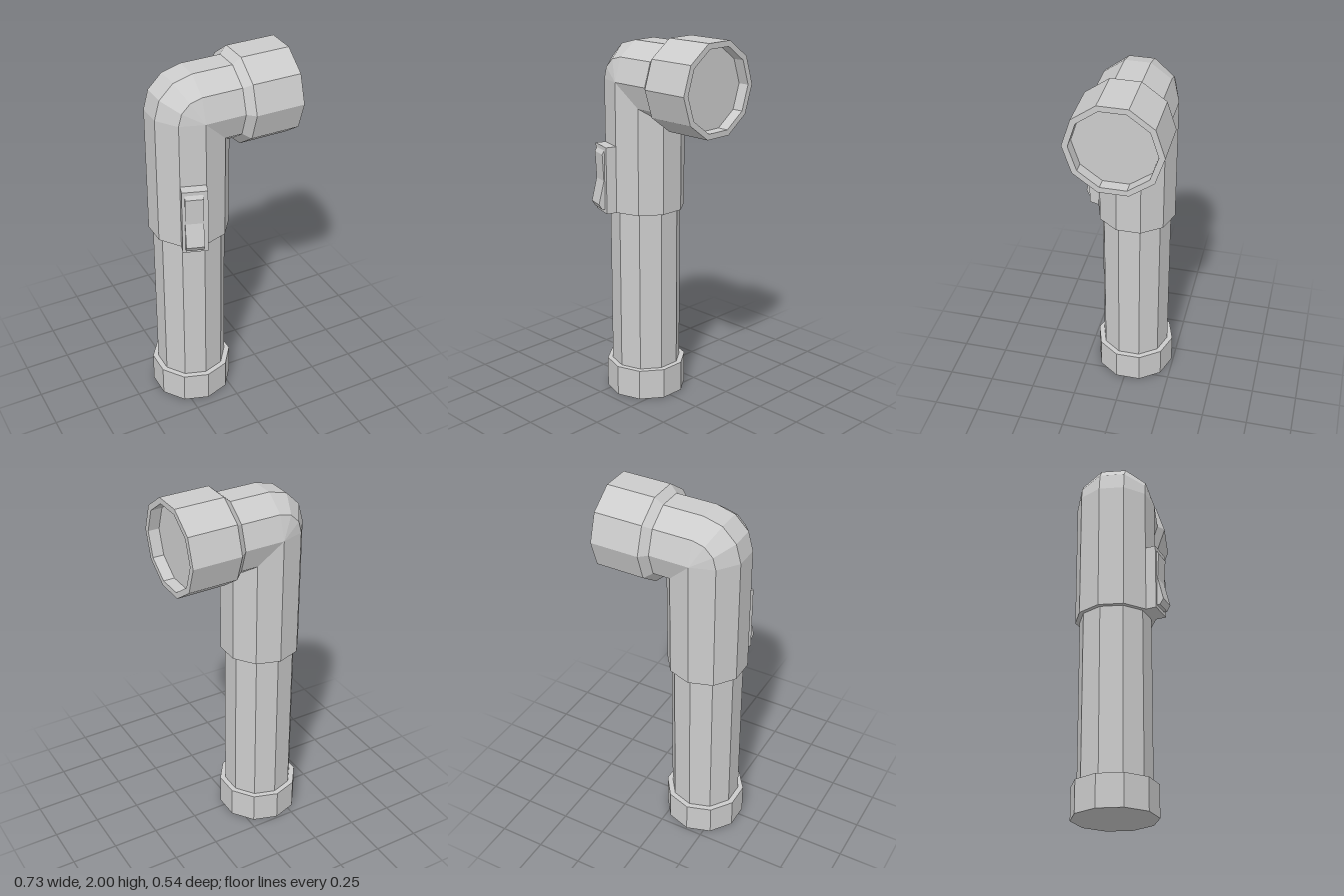
import * as THREE from 'three';

const SIDES = 10;
const AX = -0.157, AY = 1.762, AZ = -0.021; // where the handle and head axes meet
const TUBE_R = 0.213;

export function createModel() {
  const model = new THREE.Group();
  const material = new THREE.MeshStandardMaterial({ color: 0xcccccc, flatShading: true });

  const add = (name, geometry, parent = model) => {
    const mesh = new THREE.Mesh(geometry, material);
    mesh.name = name;
    parent.add(mesh);
    return mesh;
  };
  // ten-sided turned part from [radius, height] pairs
  const turned = (...profile) =>
    new THREE.LatheGeometry(profile.map(([r, y]) => new THREE.Vector2(r, y)), SIDES);
  // cut the inner half of one end ring at 45 degrees
  const miter = (geometry, endY, sign) => {
    const p = geometry.attributes.position;
    for (let i = 0; i < p.count; i++) {
      if (Math.abs(p.getY(i) - endY) < 1e-5) p.setY(i, endY + sign * Math.max(0, p.getX(i)));
    }
    return geometry;
  };

  // upright handle
  const handle = new THREE.Group();
  handle.name = 'handle';
  handle.position.set(AX, 0, AZ);
  model.add(handle);
  add('baseCap', turned([0, 0], [0.22, 0], [0.22, 0.17], [0, 0.17]), handle);
  add('batteryTube', turned([0.19, 0.17], [0.19, 1.065]), handle);
  add('upperTube', miter(turned([0, 1.065], [TUBE_R, 1.065], [TUBE_R, AY]), AY, -1), handle);

  // rounded outer corner: half a decagon swept a quarter turn
  const arc = [];
  for (let i = 0; i <= SIDES / 2; i++) {
    const a = (i / SIDES) * Math.PI * 2;
    arc.push(new THREE.Vector2(TUBE_R * Math.sin(a), -TUBE_R * Math.cos(a)));
  }
  const elbow = new THREE.LatheGeometry(arc, 3, Math.PI, Math.PI / 2).rotateX(Math.PI / 2);
  add('elbow', elbow).position.set(AX, AY, AZ);

  // sideways head, turned along +x
  const head = new THREE.Group();
  head.name = 'head';
  head.position.set(AX, AY, AZ);
  head.rotation.z = -Math.PI / 2;
  model.add(head);
  const tip = 0.365 - AX, lensY = tip - 0.06;
  add('neck', miter(turned([TUBE_R, 0], [TUBE_R, 0.06 - AX]), 0, 1), head);
  add('lampHousing', turned([TUBE_R, 0.06 - AX], [0.25, 0.1 - AX], [0.25, tip], [0.219, tip], [0.219, lensY]), head);
  add('lens', turned([0.219, lensY], [0, lensY]), head);

  // switch on one face of the upper tube
  const control = new THREE.Group();
  control.name = 'switch';
  control.position.set(AX, 0, AZ);
  control.rotation.y = -Math.PI / SIDES;
  model.add(control);
  const plate = add('switchPlate', new THREE.BoxGeometry(0.132, 0.36, 0.067), control);
  plate.position.set(0, 1.245, 0.225);

  const face = 0.2585;
  const side = [[-0.01, 1.405], [0, 1.405], [0.012, 1.385], [0.005, 1.24], [0.035, 1.115], [0.016, 1.085], [-0.01, 1.085]];
  const rocker = new THREE.ExtrudeGeometry(
    new THREE.Shape(side.map(([d, y]) => new THREE.Vector2(face + d, y))),
    { depth: 0.094, bevelEnabled: false }
  );
  rocker.translate(0, 0, -0.047).rotateY(-Math.PI / 2);
  add('rocker', rocker, control).position.x = -0.004;

  return model;
}
